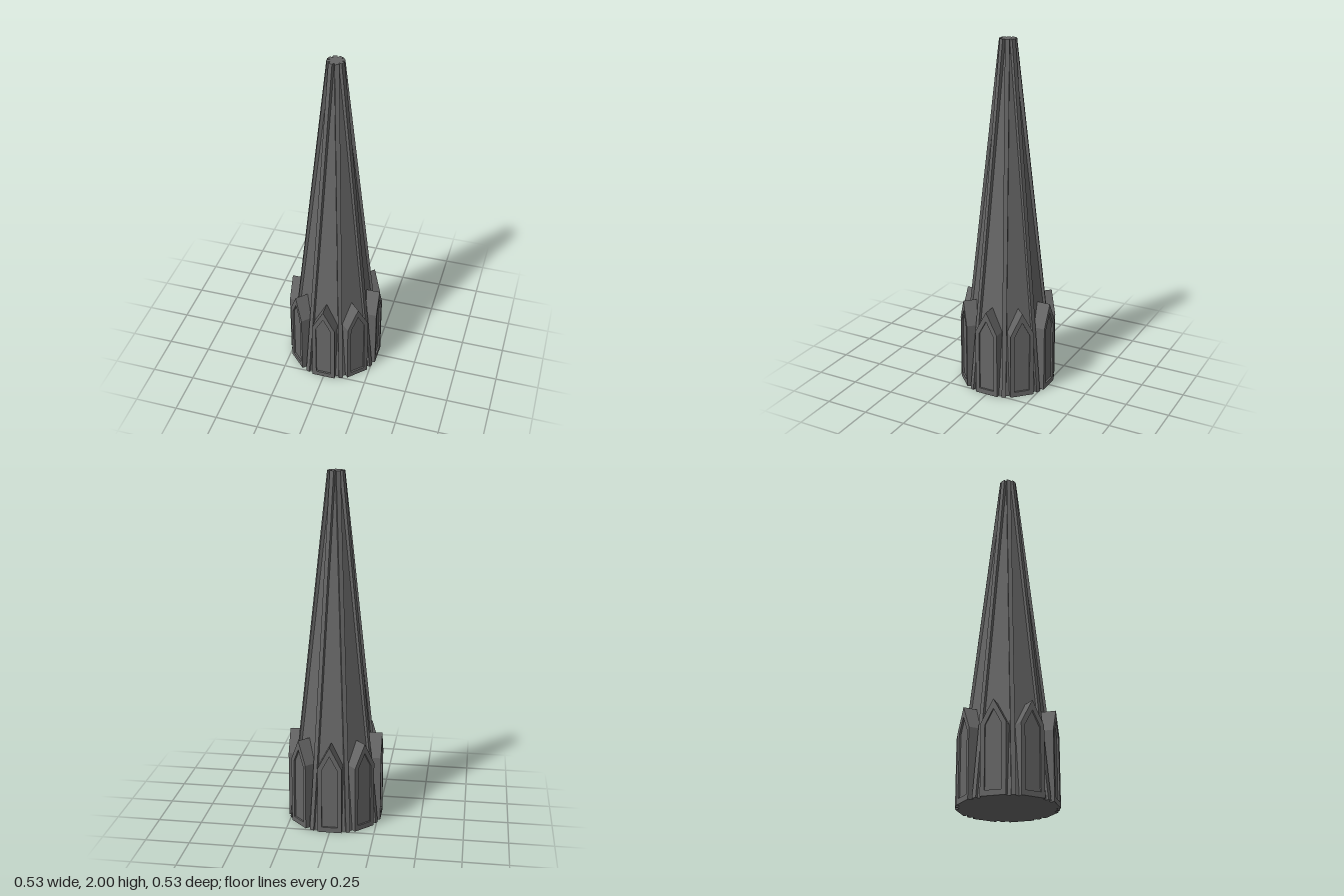
import * as THREE from 'three';

const HEIGHT = 2;
const SIDES = 8;
const STEP = (Math.PI * 2) / SIDES;
const toCorner = (apothem) => apothem / Math.cos(STEP / 2);

// Pointed house outline: straight sides with a gable on top
function gable(Type, halfWidth, bottom, eave, peak) {
  const path = new Type();
  path.moveTo(-halfWidth, bottom);
  path.lineTo(halfWidth, bottom);
  path.lineTo(halfWidth, eave);
  path.lineTo(0, peak);
  path.lineTo(-halfWidth, eave);
  path.closePath();
  return path;
}

// Extrude an outline along z between two distances from the axis
function extrudeBetween(shape, from, to) {
  return new THREE.ExtrudeGeometry(shape, { depth: to - from, bevelEnabled: false }).translate(0, 0, from);
}

// Corner rib that follows the slope of the spire
function ribGeometry() {
  const profile = new THREE.Shape([
    new THREE.Vector2(0.2, 0),
    new THREE.Vector2(0.272, 0),
    new THREE.Vector2(0.047, HEIGHT),
    new THREE.Vector2(0.02, HEIGHT),
  ]);
  const width = 0.024;
  return new THREE.ExtrudeGeometry(profile, { depth: width, bevelEnabled: false }).translate(0, 0, -width / 2);
}

export function createModel() {
  const model = new THREE.Group();
  model.name = 'spire';
  const stone = new THREE.MeshStandardMaterial({ color: 0x666666, flatShading: true });
  stone.name = 'darkGreyStone';

  const add = (name, geometry, angle, parent = model) => {
    const mesh = new THREE.Mesh(geometry, stone);
    mesh.name = name;
    mesh.rotation.y = angle;
    parent.add(mesh);
  };

  // Tapering octagonal core, flat sides to the front
  const core = new THREE.CylinderGeometry(toCorner(0.03), toCorner(0.243), HEIGHT, SIDES);
  add('spireCore', core.translate(0, HEIGHT / 2, 0), STEP / 2);

  // Gabled dormers with a shallow pointed recess in the front
  const body = extrudeBetween(gable(THREE.Shape, 0.068, 0, 0.385, 0.515), 0.17, 0.257);
  const frameShape = gable(THREE.Shape, 0.068, 0, 0.385, 0.515);
  frameShape.holes.push(gable(THREE.Path, 0.045, 0.03, 0.375, 0.46));
  const frame = extrudeBetween(frameShape, 0.257, 0.267);
  const rib = ribGeometry();

  for (let i = 0; i < SIDES; i++) {
    const dormer = new THREE.Group();
    dormer.name = 'dormer';
    dormer.rotation.y = i * STEP;
    add('dormerBody', body, 0, dormer);
    add('dormerFrame', frame, 0, dormer);
    model.add(dormer);
    add('cornerRib', rib, (i + 0.5) * STEP);
  }
  return model;
}
